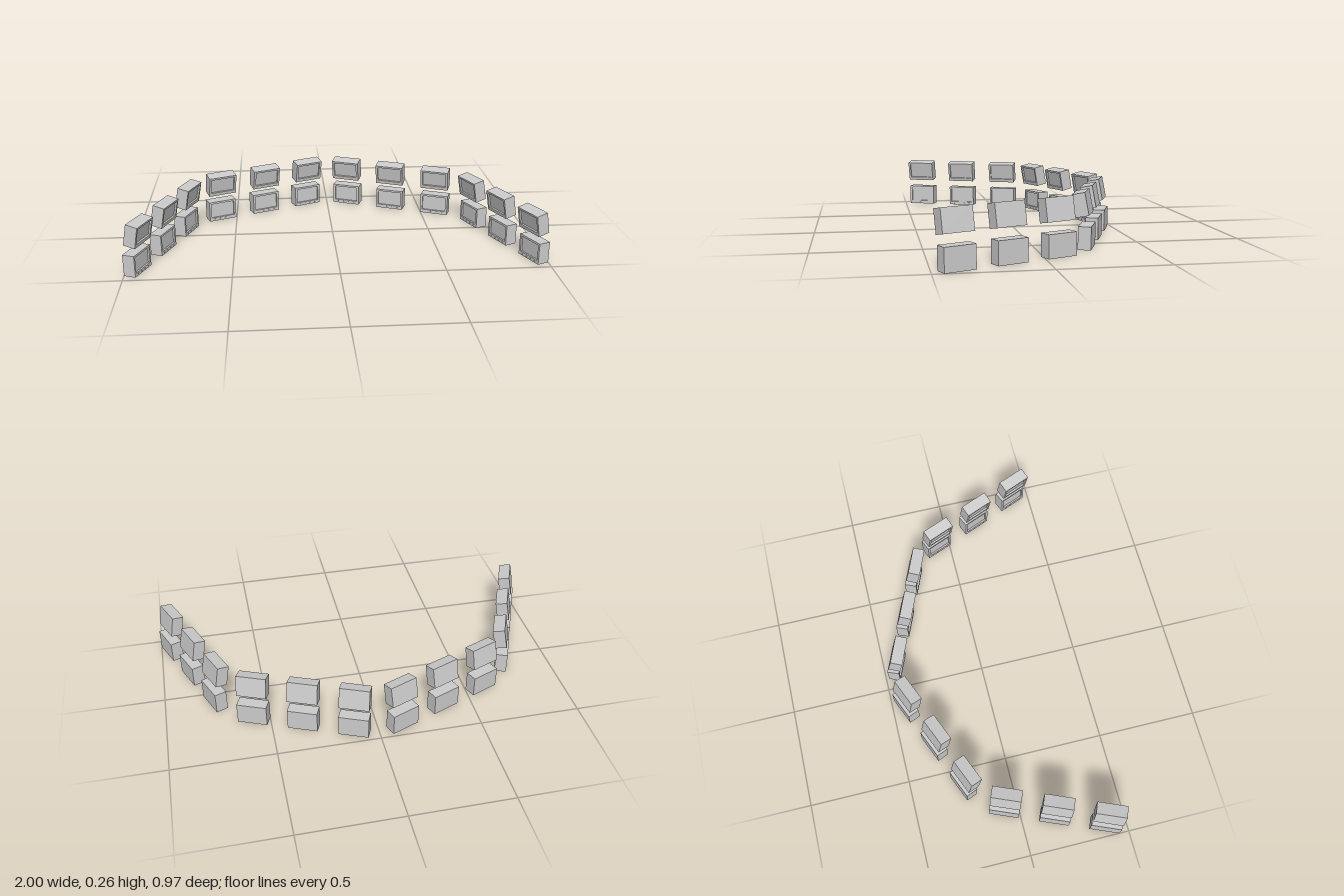
import * as THREE from 'three';

const W = 0.147, H = 0.106, D = 0.06;   // monitor casing
const LIP = 0.009;                      // depth of the screen recess
const material = new THREE.MeshStandardMaterial({ color: 0xcccccc, flatShading: true });

function rectangle(target, x0, y0, x1, y1) {
  target.moveTo(x0, y0);
  target.lineTo(x1, y0);
  target.lineTo(x1, y1);
  target.lineTo(x0, y1);
  target.closePath();
  return target;
}

// Bezel ring around the screen, with a taller strip at the bottom
const ring = rectangle(new THREE.Shape(), -W / 2, -H / 2, W / 2, H / 2);
ring.holes.push(rectangle(new THREE.Path(), -W / 2 + 0.011, -H / 2 + 0.018, W / 2 - 0.011, H / 2 - 0.01));
const bezelGeometry = new THREE.ExtrudeGeometry(ring, { depth: LIP, bevelEnabled: false });
bezelGeometry.translate(0, 0, D / 2 - LIP);

const bodyGeometry = new THREE.BoxGeometry(W, H, D - LIP);
bodyGeometry.translate(0, 0, -LIP / 2);

const knobGeometry = new THREE.CylinderGeometry(0.0035, 0.0035, 0.004, 8);
knobGeometry.rotateX(Math.PI / 2);

function part(geometry, name) {
  const mesh = new THREE.Mesh(geometry, material);
  mesh.name = name;
  return mesh;
}

function makeMonitor(name, withKnobs) {
  const monitor = new THREE.Group();
  monitor.name = name;
  monitor.add(part(bodyGeometry, 'casing'), part(bezelGeometry, 'bezel'));
  if (withKnobs) {
    for (let i = 0; i < 4; i++) {
      const knob = part(knobGeometry, 'knob');
      knob.position.set((i - 1.5) * 0.03, -H / 2 + 0.009, D / 2 + 0.001);
      monitor.add(knob);
    }
  }
  return monitor;
}

export function createModel() {
  const model = new THREE.Group();
  model.name = 'monitorWall';

  // Four banks of three columns on a half octagon: middle column and facing
  const banks = [
    { name: 'rightWing', x: -0.848, z: 0.162, turn: 67.5 },
    { name: 'rightBack', x: -0.352, z: -0.333, turn: 22.5 },
    { name: 'leftBack', x: 0.347, z: -0.333, turn: -22.5 },
    { name: 'leftWing', x: 0.848, z: 0.162, turn: -67.5 },
  ];

  for (const { name, x, z, turn } of banks) {
    const bank = new THREE.Group();
    bank.name = name;
    bank.position.set(x, 0, z);
    bank.rotation.y = THREE.MathUtils.degToRad(turn);
    for (let i = -1; i <= 1; i++) {
      const lower = makeMonitor('lowerMonitor', true);
      lower.position.set(i * 0.25, H / 2, 0);

      // Upper row leans forward over the lower one
      const upper = makeMonitor('upperMonitor', false);
      upper.position.set(i * 0.25, 0.2025, 0.02);
      upper.rotation.x = THREE.MathUtils.degToRad(11);
      bank.add(lower, upper);
    }
    model.add(bank);
  }
  return model;
}
